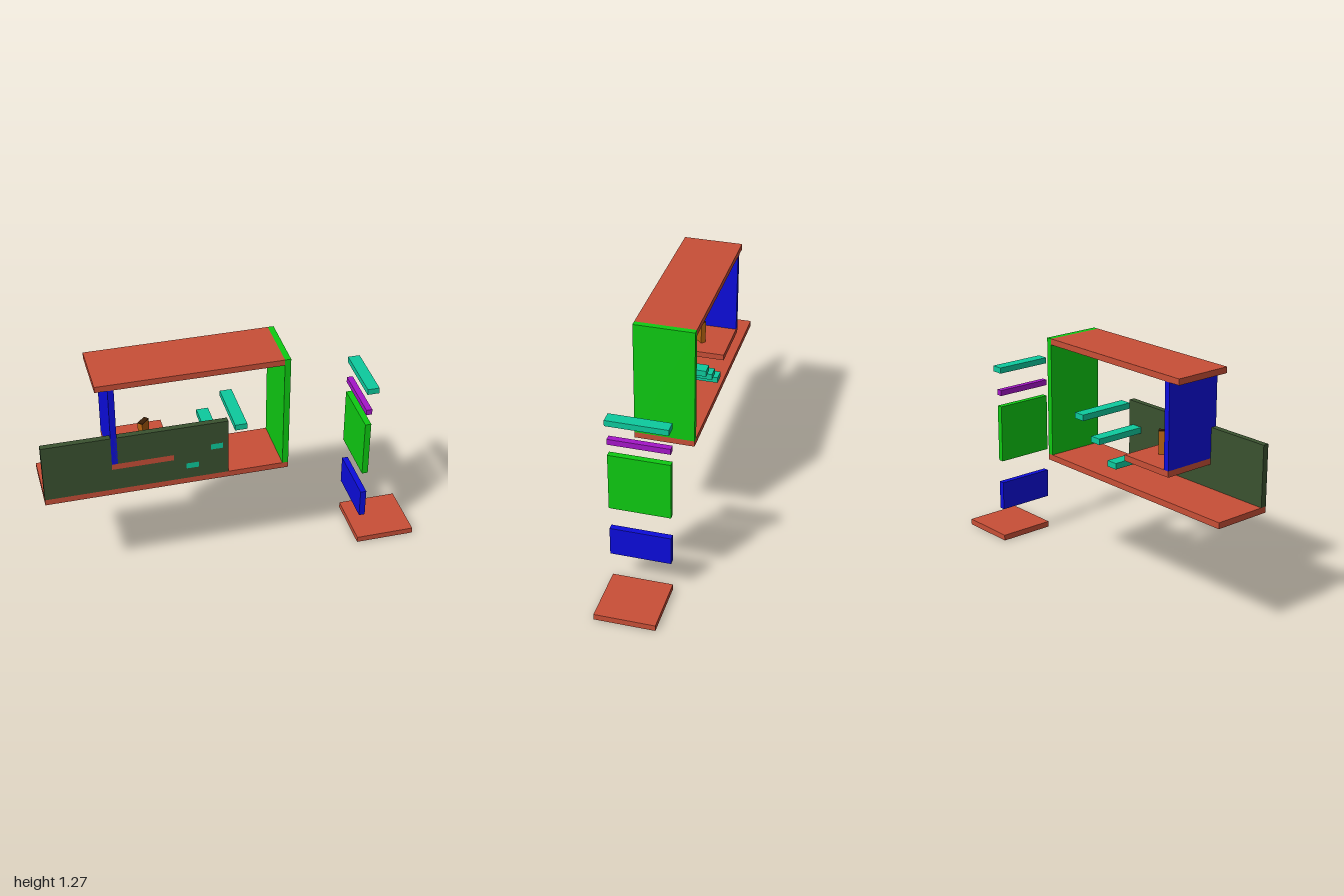
import * as THREE from 'three';

const COLORS = {
  ground: 0xc94f37, wall: 0x0ecb12, door: 0x0c0cdc, step: 0x0dcb9e,
  block: 0xa516c8, panel: 0x3a5230, figure: 0xb8640f, figureTop: 0x3a1e06,
};
const DEPTH = 0.317;

const material = (key) => new THREE.MeshStandardMaterial({ color: COLORS[key], flatShading: true });

// Box given by its x, y and z ranges; z spans the full depth by default
function slab(name, key, [x0, x1], [y0, y1], [z0, z1] = [-DEPTH / 2, DEPTH / 2]) {
  const mesh = new THREE.Mesh(new THREE.BoxGeometry(x1 - x0, y1 - y0, z1 - z0), material(key));
  mesh.position.set((x0 + x1) / 2, (y0 + y1) / 2, (z0 + z1) / 2);
  mesh.name = name;
  return mesh;
}

export function createModel() {
  const model = new THREE.Group();
  model.name = 'blockStage';

  // Room: floor, roof, side walls and low front panel
  const room = new THREE.Group();
  room.name = 'room';
  room.add(
    slab('floor', 'ground', [-1, 0.267], [0.613, 0.645]),
    slab('roof', 'ground', [-0.715, 0.236], [1.246, 1.278]),
    slab('endWall', 'wall', [0.236, 0.267], [0.645, 1.278]),
    slab('innerWall', 'door', [-0.652, -0.621], [0.802, 1.246]),
    slab('platform', 'ground', [-0.652, -0.336], [0.77, 0.802]),
    slab('frontPanel', 'panel', [-1, -0.052], [0.645, 0.962], [0.127, DEPTH / 2]),
  );

  // Floating steps rising toward the end wall
  for (let i = 0; i < 3; i++) {
    const x = -0.271 + i * 0.127, y = 0.705 + i * 0.096;
    room.add(slab('step', 'step', [x, x + 0.063], [y, y + 0.032]));
  }

  // Small turned figure standing on the platform
  const figure = new THREE.Group();
  figure.name = 'figure';
  figure.add(
    slab('figureBody', 'figure', [-0.03, 0.03], [0, 0.122], [-0.014, 0.014]),
    slab('figureCap', 'figureTop', [-0.03, 0.03], [0.122, 0.126], [-0.014, 0.014]),
  );
  figure.position.set(-0.456, 0.802, 0);
  figure.rotation.y = Math.PI / 4;
  room.add(figure);
  model.add(room);

  // Column of sample blocks beside the room
  const samples = new THREE.Group();
  samples.name = 'sampleBlocks';
  const X = 0.68;
  samples.add(
    slab('sampleStep', 'step', [X, X + 0.063], [0.993, 1.025]),
    slab('sampleBlock', 'block', [X, X + 0.032], [0.866, 0.897]),
    slab('sampleTallWall', 'wall', [X, X + 0.032], [0.487, 0.804]),
    slab('sampleShortWall', 'door', [X, X + 0.032], [0.201, 0.36]),
    slab('sampleGround', 'ground', [X, 1], [0.01, 0.042]),
  );
  model.add(samples);
  return model;
}
